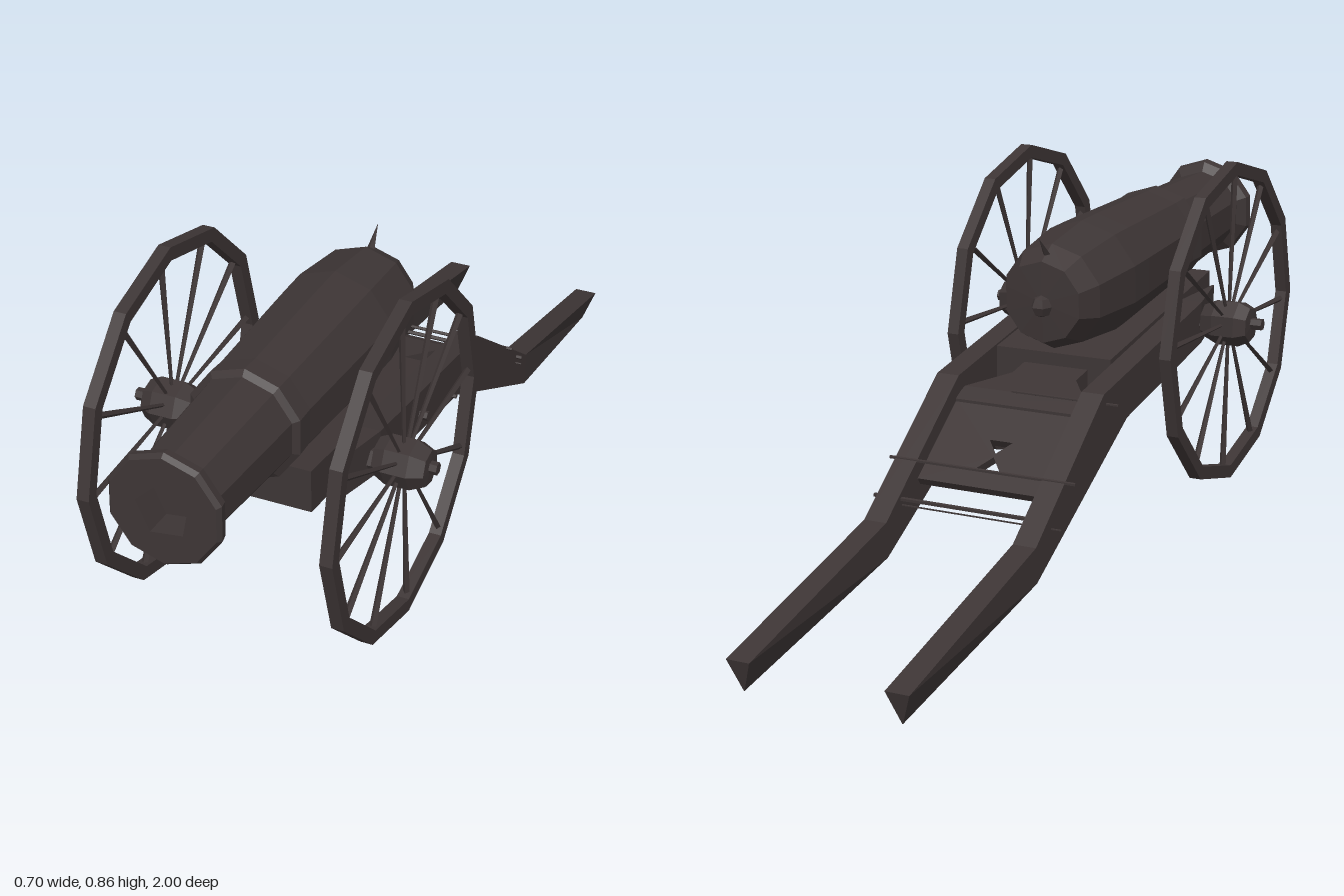
import * as THREE from 'three';

const iron = new THREE.MeshStandardMaterial({ color: 0x3d3535, flatShading: true, side: THREE.DoubleSide });
iron.name = 'darkIronwood';
const CX = 0.005; // centre line of the carriage

function add(parent, name, geometry, x = 0, y = 0, z = 0) {
  const mesh = new THREE.Mesh(geometry, iron);
  mesh.name = name;
  mesh.position.set(x, y, z);
  parent.add(mesh);
  return mesh;
}

// Beam through four-cornered sections, front to back: [zTop, yTop, zBottom, yBottom, topWidth, bottomWidth]
function beam(sections) {
  const pos = [], idx = [];
  for (const [zt, yt, zb, yb, wt, wb] of sections)
    pos.push(wt / 2, yt, zt, -wt / 2, yt, zt, -wb / 2, yb, zb, wb / 2, yb, zb);
  const last = (sections.length - 1) * 4;
  for (let s = 0; s < last; s += 4)
    for (let k = 0; k < 4; k++) {
      const a = s + k, b = s + (k + 1) % 4;
      idx.push(a, a + 4, b, b, a + 4, b + 4);
    }
  idx.push(0, 1, 2, 0, 2, 3, last, last + 2, last + 1, last, last + 3, last + 2);
  const g = new THREE.BufferGeometry();
  g.setAttribute('position', new THREE.Float32BufferAttribute(pos, 3));
  g.setIndex(idx);
  g.computeVertexNormals();
  return g;
}

const lathe = (pts, sides) => new THREE.LatheGeometry(pts.map(p => new THREE.Vector2(...p)), sides);
const rod = (r, length, sides = 6) => new THREE.CylinderGeometry(r, r, length, sides).rotateZ(Math.PI / 2);
const ngon = (n, r, phase, y = 0) => Array.from({ length: n }, (_, i) => {
  const a = phase + i * 2 * Math.PI / n;
  return new THREE.Vector2(Math.cos(a) * r, y + Math.sin(a) * r);
});

function makeBarrel() {
  const g = new THREE.Group();
  g.name = 'barrel';
  add(g, 'tube', lathe([[0, 0], [0.095, 0.005], [0.123, 0.06], [0.14, 0.22], [0.138, 0.3], [0.126, 0.6],
    [0.128, 0.65], [0.114, 0.66], [0.1, 0.95], [0.122, 0.965], [0.126, 0.985], [0.118, 0.995]], 10).rotateX(Math.PI / 2));
  // muzzle face with a five-sided bore
  const face = new THREE.Shape(ngon(10, 0.118, Math.PI / 2));
  face.holes.push(new THREE.Path(ngon(5, 0.06, 1.7)));
  add(g, 'muzzleFace', new THREE.ShapeGeometry(face), 0, 0, 0.995);
  add(g, 'boreEnd', new THREE.ShapeGeometry(new THREE.Shape(ngon(5, 0.06, 1.7))), 0, 0, 0.93);
  const bore = new THREE.CylinderGeometry(0.06, 0.06, 0.065, 5, 1, true).rotateX(Math.PI / 2);
  add(g, 'bore', bore, 0, 0, 0.9625).rotation.z = 1.7 + Math.PI / 2;
  // breech knob and fuse
  add(g, 'breechKnob', new THREE.SphereGeometry(0.026, 6, 4), 0, -0.008, 0.002);
  add(g, 'fuse', new THREE.ConeGeometry(0.012, 0.08, 4), 0, 0.12, 0.02).rotation.x = -0.7;
  g.position.set(0.012, 0.59, 0);
  g.rotation.x = -0.045;
  return g;
}

function makeWheel(side) {
  const g = new THREE.Group();
  g.name = side > 0 ? 'leftWheel' : 'rightWheel';
  const w = 0.014, ro = 0.386, ri = 0.355;
  add(g, 'rim', lathe([[ri, -w], [ro, -w], [ro, w], [ri, w], [ri, -w]], 12).rotateZ(Math.PI / 2));
  add(g, 'hub', lathe([[0, -0.06], [0.04, -0.058], [0.055, -0.025], [0.055, 0.03], [0.042, 0.057], [0, 0.06]], 7)
    .rotateZ(Math.PI / 2));
  // tapering spokes
  for (let i = 0; i < 12; i++) {
    const spoke = new THREE.CylinderGeometry(0.008, 0.004, 0.34, 4).translate(0, 0.195, 0);
    add(g, 'spoke', spoke).rotation.x = (i + 0.1) * Math.PI / 6;
  }
  g.position.set(CX + side * 0.268, 0.474, 0.45);
  return g;
}

function makeCarriage() {
  const g = new THREE.Group();
  g.name = 'carriage';
  // pair of kinked trails, pointed at both ends
  const w = 0.054;
  for (const side of [1, -1])
    add(g, side > 0 ? 'leftTrail' : 'rightTrail', beam([
      [0.57, 0.53, 0.57, 0.435, 0.004, 0.004], [0.43, 0.52, 0.43, 0.42, w, w], [-0.125, 0.435, 0, 0.35, w, w],
      [-0.46, 0.19, -0.455, 0.11, w, w], [-1, 0.07, -0.98, 0, w, 0.002]]), CX + side * 0.179);
  // bed under the barrel
  add(g, 'bed', beam([[0.65, 0.545, 0.65, 0.445, 0.288, 0.288], [0.06, 0.46, 0.06, 0.37, 0.288, 0.288]]), 0.012);
  add(g, 'bedTongue', beam([[0.06, 0.43, 0.06, 0.38, 0.16, 0.16], [0, 0.42, 0, 0.375, 0.16, 0.16],
    [-0.1, 0.405, -0.1, 0.375, 0.3, 0.3], [-0.14, 0.385, -0.14, 0.355, 0.31, 0.31]]), CX);
  // sloping plate between the trails with an hourglass cut-out
  const v = (x, y) => new THREE.Vector2(x, y);
  const plate = new THREE.Shape([v(-0.152, 0), v(0.152, 0), v(0.152, 0.23), v(-0.152, 0.23)]);
  plate.holes.push(new THREE.Path([v(-0.028, 0.05), v(0.028, 0.05), v(0, 0.085)]),
    new THREE.Path([v(-0.028, 0.13), v(0, 0.095), v(0.028, 0.13)]));
  const plateGeo = new THREE.ExtrudeGeometry(plate, { depth: 0.02, bevelEnabled: false });
  add(g, 'transomPlate', plateGeo, CX, 0.25, -0.32).rotation.x = Math.PI / 2 - 0.62;
  // cross rods: [x, y, z, radius, length]
  for (const [x, y, z, r, l] of [[0.045, 0.381, 0.05, 0.005, 0.37], [0.04, 0.224, -0.392, 0.005, 0.37],
    [0, 0.209, -0.388, 0.002, 0.45], [0, 0.29, -0.32, 0.004, 0.45], [-0.1, 0.41, -0.112, 0.003, 0.26],
    [0.005, 0.43, 0.215, 0.011, 0.45]])
    add(g, 'crossRod', rod(r, l, 5), x, y, z);
  // axle with inner collars
  add(g, 'axle', rod(0.014, 0.698), 0, 0.477, 0.45);
  for (const side of [1, -1])
    add(g, 'axleCollar', rod(0.032, 0.06), CX + side * 0.19, 0.465, 0.45);
  return g;
}

export function createModel() {
  const model = new THREE.Group();
  model.name = 'fieldCannon';
  model.add(makeBarrel(), makeCarriage(), makeWheel(1), makeWheel(-1));
  return model;
}
